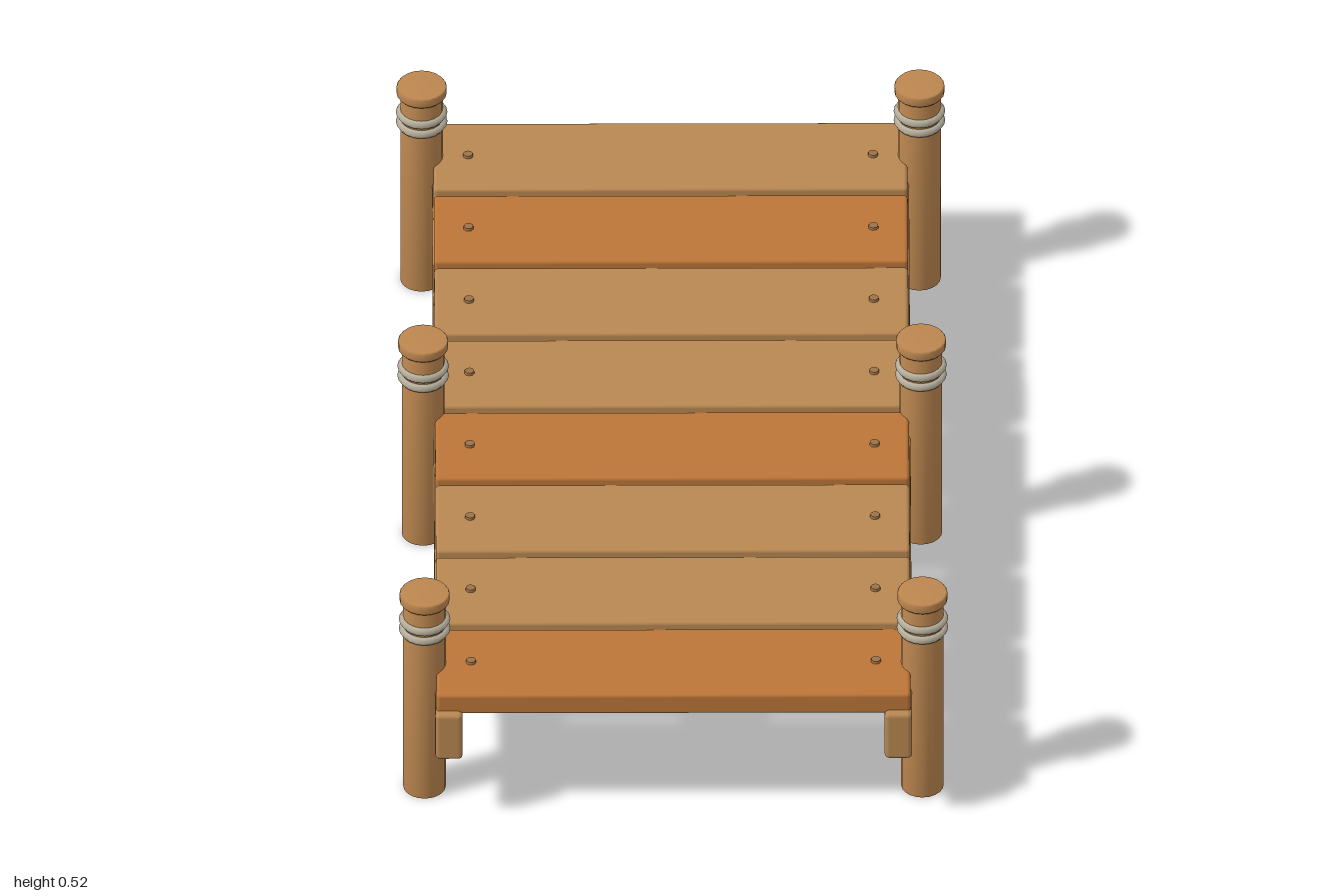
import * as THREE from 'three';
import { RoundedBoxGeometry } from 'three/addons/geometries/RoundedBoxGeometry.js';

function material(name, color) {
  const m = new THREE.MeshStandardMaterial({ color });
  m.name = name;
  return m;
}

export function createModel() {
  const tan = material('tan wood', 0xb98852);
  const orange = material('orange wood', 0xbc7638);
  const postWood = material('post wood', 0xbd8750);
  const rope = material('pale rope', 0xb8b09c);
  const nailMat = material('nail brown', 0x9c7248);

  const group = new THREE.Group();
  group.name = 'dock';
  function add(name, geometry, mat, x, y, z, parent = group) {
    const mesh = new THREE.Mesh(geometry, mat);
    mesh.name = name;
    mesh.position.set(x, y, z);
    parent.add(mesh);
    return mesh;
  }

  // Deck planks, each with a nail near both ends
  const plankGeo = new RoundedBoxGeometry(1, 0.052, 0.23, 2, 0.008);
  const nailGeo = new THREE.CylinderGeometry(0.01, 0.012, 0.012, 10);
  for (let i = 0; i < 8; i++) {
    const z = -0.876 + i * 0.2493;
    add('plank', plankGeo, i % 3 === 1 ? orange : tan, 0, 0.301, z);
    for (const side of [-1, 1]) add('nail', nailGeo, nailMat, side * 0.427, 0.327, z);
  }

  // Long side beams
  const beamGeo = new RoundedBoxGeometry(0.058, 0.12, 2, 2, 0.01);
  for (const side of [-1, 1]) add('sideBeam', beamGeo, tan, side * 0.474, 0.225, 0);

  // Round posts with a wider cap and two rope rings
  const profile = (points) => new THREE.LatheGeometry(points.map(([r, y]) => new THREE.Vector2(r, y)), 20);
  const postGeo = profile([[0, 0], [0.045, 0], [0.045, 0.497], [0, 0.497]]);
  const capGeo = profile([[0, 0.492], [0.05, 0.492], [0.053, 0.496], [0.053, 0.512], [0.05, 0.516], [0, 0.516]]);
  const ringGeo = new THREE.TorusGeometry(0.044, 0.0105, 6, 20).rotateX(Math.PI / 2);
  for (const x of [-0.525, 0.525]) {
    for (const z of [-0.876, 0, 0.872]) {
      const post = new THREE.Group();
      post.name = 'post';
      post.position.set(x, 0, z);
      add('postShaft', postGeo, postWood, 0, 0, 0, post);
      add('postCap', capGeo, postWood, 0, 0, 0, post);
      for (const y of [0.42, 0.445]) add('ropeRing', ringGeo, rope, 0, y, 0, post);
      group.add(post);
    }
  }
  return group;
}
